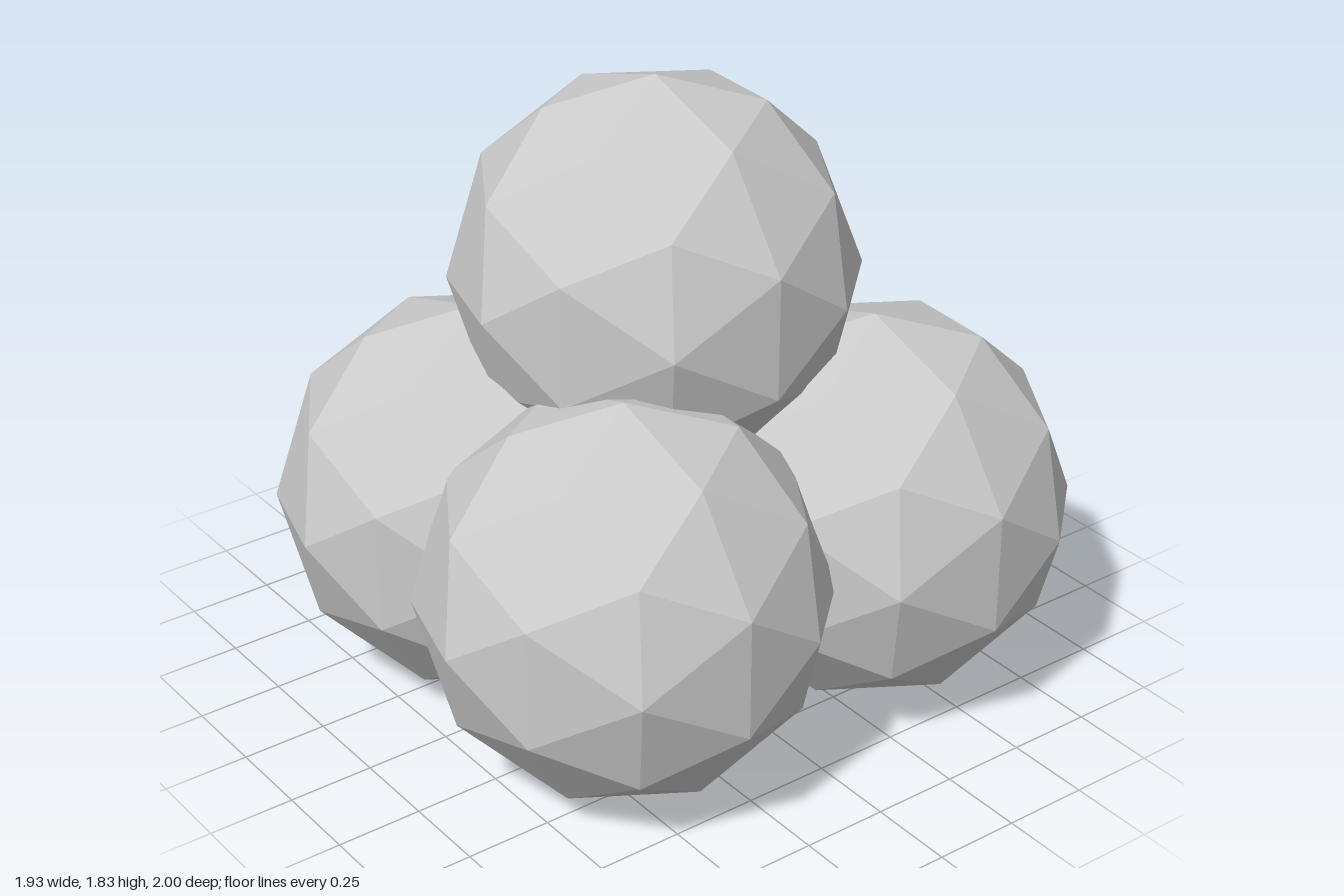
import * as THREE from 'three';

const RADIUS = 0.573;

export function createModel() {
  const group = new THREE.Group();
  const material = new THREE.MeshStandardMaterial({ color: 0xcccccc, flatShading: true });

  // Faceted ball with one corner turned to face straight forward
  const ball = new THREE.IcosahedronGeometry(RADIUS, 1);
  ball.rotateY(Math.atan((1 + Math.sqrt(5)) / 2));

  // Four balls as a base, one resting on top
  const balls = [
    ['frontLeftBall', 0.417, RADIUS, 0.427],
    ['frontRightBall', -0.287, RADIUS, 0.427],
    ['backLeftBall', 0.417, RADIUS, -0.427],
    ['backRightBall', -0.42, RADIUS, -0.427],
    ['topBall', 0.005, 1.253, 0.018],
  ];
  for (const [name, x, y, z] of balls) {
    const mesh = new THREE.Mesh(ball, material);
    mesh.name = name;
    mesh.position.set(x, y, z);
    group.add(mesh);
  }
  return group;
}
